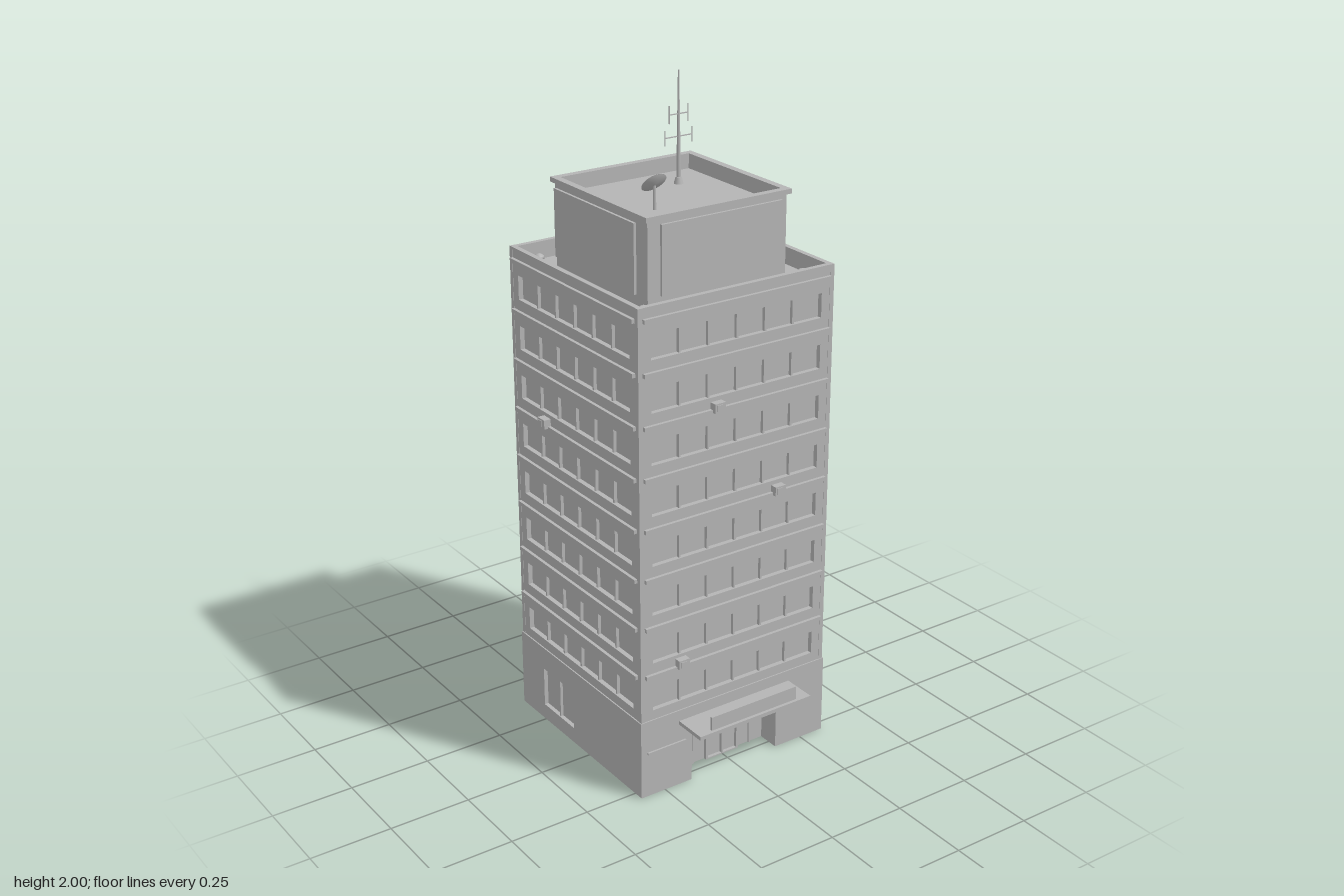
import * as THREE from 'three';

const concrete = new THREE.MeshStandardMaterial({ color: 0xb4b4b4 });
concrete.name = 'concrete grey';

function add(parent, name, geometry, x = 0, y = 0, z = 0) {
  const mesh = new THREE.Mesh(geometry, concrete);
  mesh.name = name;
  mesh.position.set(x, y, z);
  parent.add(mesh);
  return mesh;
}

// Box given by its limits on each axis
function box(parent, name, [x0, x1], [y0, y1], [z0, z1]) {
  return add(parent, name, new THREE.BoxGeometry(x1 - x0, y1 - y0, z1 - z0),
    (x0 + x1) / 2, (y0 + y1) / 2, (z0 + z1) / 2);
}

function rect(path, x0, x1, y0, y1) {
  path.moveTo(x0, y0);
  path.lineTo(x1, y0);
  path.lineTo(x1, y1);
  path.lineTo(x0, y1);
  path.closePath();
  return path;
}

// Upright wall with rectangular openings, its face at z1
function wall(parent, name, outline, openings, z0, z1) {
  const shape = Array.isArray(outline) ? rect(new THREE.Shape(), ...outline) : outline;
  for (const o of openings) shape.holes.push(rect(new THREE.Path(), ...o));
  const geometry = new THREE.ExtrudeGeometry(shape, { depth: z1 - z0, bevelEnabled: false });
  return add(parent, name, geometry, 0, 0, z0);
}

// Square ring lying flat
function ring(parent, name, outer, inner, y0, y1) {
  const m = wall(parent, name, [-outer, outer, -outer, outer], [[-inner, inner, -inner, inner]], 0, y1 - y0);
  m.rotation.x = -Math.PI / 2;
  m.position.y = y0;
}

const FLOORS = 8, PITCH = 0.1536, SILL = 0.28, WINDOW = 0.073;
const BASE = 0.25, TOP = 1.507, ROOF = 1.455;

// One upper facade: wall with window bands, mullions and ledges
function facade(parent) {
  const bands = [];
  for (let i = 0; i < FLOORS; i++) {
    const y = SILL + i * PITCH;
    bands.push([-0.288, 0.288, y, y + WINDOW]);
    for (let k = -2; k <= 2; k++)
      box(parent, 'windowMullion', [k * 0.096 - 0.003, k * 0.096 + 0.003], [y, y + WINDOW], [0.312, 0.324]);
    box(parent, 'floorLedge', [-0.315, 0.315], [y + 0.109, y + 0.121], [0.327, 0.339]);
  }
  wall(parent, 'facadeWall', [-0.316, 0.316, BASE, TOP], bands, 0.313, 0.329);
}

function airConditioner(parent, x, y) {
  const g = new THREE.Group();
  g.name = 'airConditioner';
  box(g, 'unitCase', [-0.018, 0.018], [-0.014, 0.014], [0.328, 0.351]);
  box(g, 'unitGrille', [-0.012, 0.006], [-0.009, 0.009], [0.351, 0.353]);
  g.position.set(x, y, 0);
  parent.add(g);
}

function entrance(front) {
  const outline = new THREE.Shape();
  const pts = [[-0.32, 0], [-0.155, 0], [-0.155, 0.197], [0.155, 0.197], [0.155, 0], [0.32, 0], [0.32, BASE], [-0.32, BASE]];
  outline.setFromPoints(pts.map(([x, y]) => new THREE.Vector2(x, y)));
  wall(front, 'entranceWall', outline, [], 0.263, 0.333);
  wall(front, 'doorFrame', [-0.06, 0.06, 0, 0.117], [[-0.052, -0.003, 0.004, 0.109], [0.003, 0.052, 0.004, 0.109]], 0.262, 0.273);
  for (const x of [-0.105, 0.105])
    box(front, 'entranceMullion', [x - 0.003, x + 0.003], [0, 0.197], [0.262, 0.269]);
  box(front, 'entranceTransom', [-0.155, 0.155], [0.117, 0.123], [0.262, 0.269]);
  box(front, 'canopy', [-0.2, 0.2], [0.203, 0.215], [0.33, 0.44]);
  box(front, 'canopySignBoard', [-0.153, 0.153], [0.215, 0.258], [0.422, 0.43]);
  box(front, 'wallStrip', [-0.312, -0.178], [0.141, 0.148], [0.332, 0.339]);
}

function antenna(parent, x, y, z) {
  const g = new THREE.Group();
  g.name = 'antenna';
  add(g, 'antennaFoot', new THREE.CylinderGeometry(0.009, 0.014, 0.02, 16), 0, 0.01, 0);
  const h = 2 - y;
  add(g, 'antennaMast', new THREE.CylinderGeometry(0.002, 0.007, h, 12), 0, h / 2, 0);
  for (const [barY, half, end] of [[1.81, 0.047, 0.022], [1.875, 0.032, 0.026]]) {
    box(g, 'antennaArm', [-half, half], [barY - y - 0.0015, barY - y + 0.0015], [-0.0015, 0.0015]);
    for (const s of [-1, 1])
      add(g, 'antennaRod', new THREE.CylinderGeometry(0.0015, 0.0015, end * 2, 6), s * half, barY - y, 0);
  }
  g.position.set(x, y, z);
  parent.add(g);
}

function dish(parent, x, y, z) {
  const g = new THREE.Group();
  g.name = 'satelliteDish';
  add(g, 'dishStand', new THREE.CylinderGeometry(0.004, 0.005, 0.075, 10), 0, 0.0375, 0);
  // Shallow bowl, closed by an inner and outer skin
  const profile = [[0, 0], [0.02, 0.002], [0.038, 0.009], [0.037, 0.011], [0.02, 0.005], [0, 0.003]];
  const bowl = add(g, 'dishBowl', new THREE.LatheGeometry(profile.map(p => new THREE.Vector2(...p)), 28), 0, 0.07, 0.004);
  bowl.rotation.x = -0.86;
  const feed = new THREE.CylinderGeometry(0.0015, 0.0015, 0.025, 6).translate(0, 0.0125, 0);
  add(g, 'dishFeed', feed, 0, 0.07, 0.004).rotation.x = -0.86;
  g.position.set(x, y, z);
  parent.add(g);
}

export function createModel() {
  const model = new THREE.Group();
  model.name = 'officeTower';
  const tower = new THREE.Group();
  tower.name = 'tower';
  tower.position.z = -0.05;
  model.add(tower);

  // Cores: their faces form the recessed glazing
  box(tower, 'baseCore', [-0.32, 0.32], [0, BASE], [-0.32, 0.263]);
  box(tower, 'towerCore', [-0.314, 0.314], [BASE, ROOF], [-0.314, 0.314]);

  const sides = ['front', 'left', 'back', 'right'].map((name, i) => {
    const g = new THREE.Group();
    g.name = name + 'Side';
    g.rotation.y = i * Math.PI / 2;
    tower.add(g);
    facade(g);
    return g;
  });
  const [front, left, back, right] = sides;

  // Ground floor
  entrance(front);
  for (const s of [left, right]) {
    wall(s, 'baseSideWall', [-0.333, 0.333, 0, BASE], [[-0.205, -0.035, 0.05, 0.177]], 0.32, 0.333);
    box(s, 'baseWindowMullion', [-0.123, -0.117], [0.05, 0.177], [0.319, 0.329]);
  }
  box(back, 'baseBackWall', [-0.32, 0.32], [0, BASE], [0.32, 0.333]);
  box(back, 'serviceDoor', [0.12, 0.172], [0, 0.115], [0.332, 0.339]);

  // Corner posts
  for (const x of [-1, 1]) for (const z of [-1, 1])
    add(tower, 'cornerPost', new THREE.BoxGeometry(0.014, TOP - BASE, 0.014), x * 0.323, (TOP + BASE) / 2, z * 0.323);

  // Wall units
  airConditioner(front, -0.074, 1.175);
  airConditioner(front, 0.141, 0.868);
  airConditioner(front, -0.193, 0.41);
  airConditioner(left, 0.05, 0.563);
  airConditioner(right, -0.147, 1.023);

  // Lower roof
  const ventProfile = [[0, 0], [0.009, 0], [0.009, 0.018], [0.016, 0.018], [0.014, 0.026], [0.008, 0.031], [0, 0.033]];
  const vent = new THREE.LatheGeometry(ventProfile.map(p => new THREE.Vector2(...p)), 20);
  for (const [x, z] of [[-0.268, -0.27], [0, -0.275], [-0.268, 0.265], [0.267, 0.265]])
    add(tower, 'roofVent', vent, x, ROOF, z);
  box(tower, 'roofPlantBox', [0.255, 0.29], [ROOF, 1.512], [-0.055, 0.05]);

  // Penthouse with a sunken roof
  const deck = 1.672;
  box(tower, 'penthouse', [-0.232, 0.232], [ROOF, deck], [-0.232, 0.232]);
  ring(tower, 'penthouseParapet', 0.232, 0.22, deck, 1.703);
  ring(tower, 'penthouseCoping', 0.242, 0.22, 1.703, 1.717);
  for (const s of sides) {
    box(s, 'screenPanel', [-0.201, 0.201], [1.495, 1.695], [0.247, 0.255]);
    for (const x of [-0.144, 0, 0.144]) for (const y of [1.53, 1.67])
      box(s, 'screenBracket', [x - 0.003, x + 0.003], [y - 0.003, y + 0.003], [0.231, 0.248]);
  }
  antenna(tower, 0.105, deck, -0.107);
  dish(tower, -0.097, deck, 0.068);
  return model;
}
